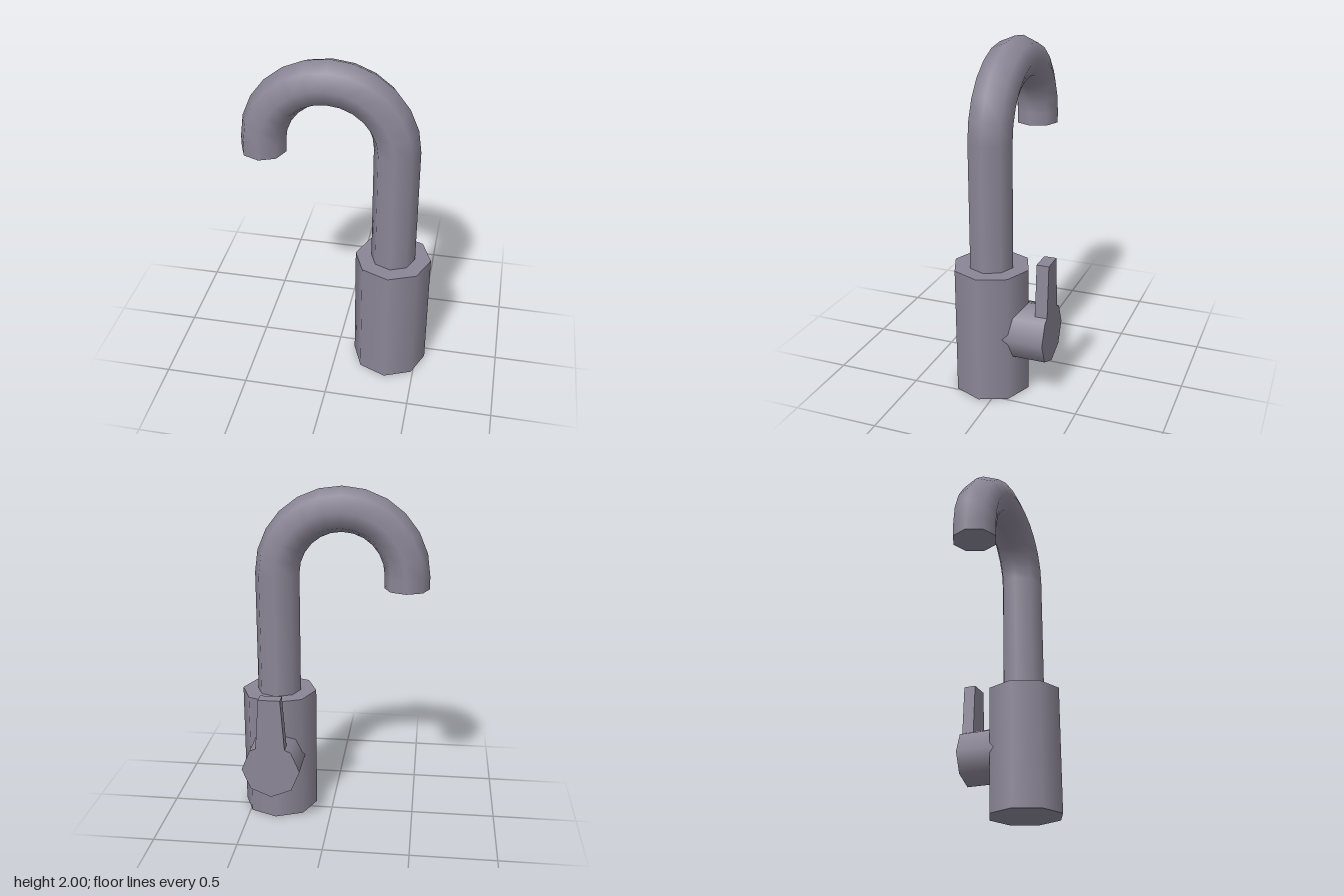
import * as THREE from 'three';

export function createModel() {
  const model = new THREE.Group();
  model.name = 'tap';
  const metal = new THREE.MeshStandardMaterial({ color: 0x8b8696 });
  metal.name = 'grey metal';

  const SIDES = 8;
  const X = 0.33, Z = 0.07;          // axis of the upright body
  const PIPE = 0.131, BEND = 0.379;  // pipe radius and bend radius
  const BEND_Y = 1.49;

  const add = (name, geometry, x, y, z) => {
    const mesh = new THREE.Mesh(geometry, metal);
    mesh.name = name;
    mesh.position.set(x, y, z);
    model.add(mesh);
    return mesh;
  };
  const upright = (name, radius, y0, y1, x, open = false) =>
    add(name, new THREE.CylinderGeometry(radius, radius, y1 - y0, SIDES, 1, open), x, (y0 + y1) / 2, Z);

  // Body and swan-neck spout
  upright('base', 0.225, 0, 0.76, X);
  upright('spoutColumn', PIPE, 0.76, BEND_Y, X, true);
  add('spoutBend', new THREE.TorusGeometry(BEND, PIPE, SIDES, 12, Math.PI), X - BEND, BEND_Y, Z);
  upright('spoutTip', PIPE, 1.415, BEND_Y, X - 2 * BEND);

  // Knob on the back, running into the body
  const knobR = 0.172, knobY = 0.385, back = -0.297;
  const knob = add('handleKnob', new THREE.CylinderGeometry(knobR, knobR, 0.297, SIDES), X, knobY, back + 0.297 / 2);
  knob.rotation.x = Math.PI / 2;

  // Tapered lever rising from the top of the knob
  const lever = new THREE.Shape([
    [-0.086, 0.136], [0, 0.172], [0.086, 0.136], [0.064, 0.445], [-0.064, 0.445],
  ].map(([x, y]) => new THREE.Vector2(x, y)));
  add('handleLever', new THREE.ExtrudeGeometry(lever, { depth: 0.072, bevelEnabled: false }), X, knobY, back);

  return model;
}
